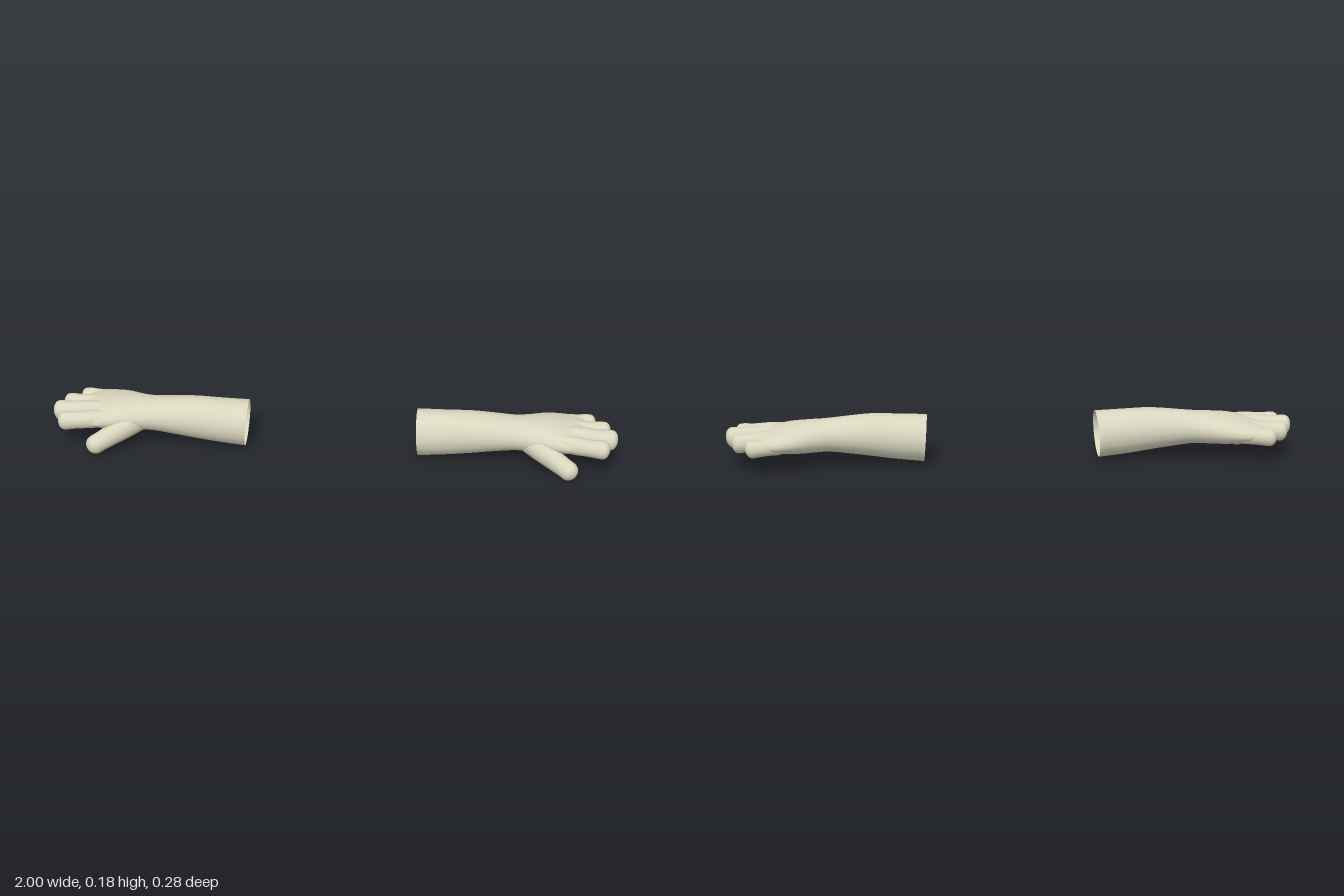
import * as THREE from 'three';

const SIDES = 20;

// Loft of elliptical rings along a smooth path; stations are [x, y, z, halfWidth, halfHeight].
// The last `cap` share of the path rounds off into a closed tip.
function limb(stations, steps, cap, mirror) {
  const path = new THREE.CatmullRomCurve3(stations.map(s => new THREE.Vector3(s[0], s[1], s[2])));
  const size = new THREE.CatmullRomCurve3(stations.map(s => new THREE.Vector3(s[3], s[4], 0)));
  const up = new THREE.Vector3(0, 1, 0);
  const rings = [];
  for (let i = 0; i < steps; i++) rings.push([(1 - cap) * i / steps, 1]);
  for (let i = 0; i <= 8; i++) {
    const a = (i / 8) * Math.PI / 2;
    rings.push([1 - cap + cap * Math.sin(a), Math.max(Math.cos(a), 0.002)]);
  }
  const pos = [], index = [];
  rings.forEach(([t, k], i) => {
    const c = path.getPoint(t), r = size.getPoint(t), dir = path.getTangent(t);
    const side = new THREE.Vector3().crossVectors(dir, up).normalize();
    const top = new THREE.Vector3().crossVectors(side, dir);
    for (let j = 0; j < SIDES; j++) {
      const a = (j / SIDES) * Math.PI * 2;
      const p = c.clone()
        .addScaledVector(side, Math.cos(a) * r.x * k)
        .addScaledVector(top, Math.sin(a) * r.y * k);
      pos.push(p.x * mirror, p.y, p.z);
      if (i === 0) continue;
      const n = (j + 1) % SIDES, lo = (i - 1) * SIDES, hi = i * SIDES;
      if (mirror > 0) index.push(lo + j, hi + j, lo + n, lo + n, hi + j, hi + n);
      else index.push(lo + j, lo + n, hi + j, lo + n, hi + n, hi + j);
    }
  });
  const g = new THREE.BufferGeometry();
  g.setAttribute('position', new THREE.Float32BufferAttribute(pos, 3));
  g.setIndex(index);
  g.computeVertexNormals();
  return g;
}

// Forearm, wrist and palm in one run, open at the inner end
const FOREARM = [
  [0.303, 0.097, -0.007, 0.082, 0.083],
  [0.40, 0.104, -0.005, 0.077, 0.080],
  [0.49, 0.112, -0.004, 0.075, 0.075],
  [0.57, 0.115, -0.006, 0.073, 0.066],
  [0.64, 0.116, -0.008, 0.073, 0.058],
  [0.70, 0.115, -0.013, 0.087, 0.056],
  [0.76, 0.114, -0.021, 0.104, 0.052],
  [0.82, 0.111, -0.026, 0.113, 0.043],
  [0.86, 0.109, -0.026, 0.110, 0.036],
  [0.90, 0.108, -0.025, 0.102, 0.030],
];

// Fingers: root z, tip z, tip x, height, radius
const FINGERS = {
  indexFinger: [0.045, 0.063, 0.970, 0.108, 0.031],
  middleFinger: [0.000, 0.002, 0.999, 0.111, 0.034],
  ringFinger: [-0.048, -0.059, 0.975, 0.108, 0.032],
  littleFinger: [-0.088, -0.116, 0.925, 0.104, 0.029],
};

const THUMB = [
  [0.68, 0.108, 0.025, 0.034, 0.040],
  [0.735, 0.088, 0.052, 0.040, 0.042],
  [0.785, 0.063, 0.080, 0.034, 0.037],
  [0.825, 0.045, 0.102, 0.033, 0.034],
  [0.857, 0.029, 0.121, 0.034, 0.035],
];

function makeArm(name, mirror, skin) {
  const arm = new THREE.Group();
  arm.name = name;
  const add = (part, geometry) => {
    const mesh = new THREE.Mesh(geometry, skin);
    mesh.name = part;
    arm.add(mesh);
  };
  add('forearmAndPalm', limb(FOREARM, 36, 0.1, mirror));
  for (const [part, [z0, z1, tip, y, r]] of Object.entries(FINGERS)) {
    const root = tip - 0.19;
    // Knuckle, slight waist, then a plump fingertip
    const stations = [[0, 0.012, 0.8], [0.35, 0.006, 1], [0.65, 0.002, 0.95], [0.85, 0, 1.02], [1, -0.003, 1]]
      .map(([t, lift, k]) => [root + 0.19 * t, y + lift, z0 + (z1 - z0) * Math.min(1, t * 1.3), r * k, r * k * 1.05]);
    add(part, limb(stations, 16, 0.2, mirror));
  }
  add('thumb', limb(THUMB, 16, 0.2, mirror));
  return arm;
}

export function createModel() {
  const skin = new THREE.MeshStandardMaterial({ color: 0xd8d6be, side: THREE.DoubleSide });
  skin.name = 'pale skin';
  const model = new THREE.Group();
  model.name = 'pairOfForearms';
  model.add(makeArm('leftArm', 1, skin), makeArm('rightArm', -1, skin));
  return model;
}
